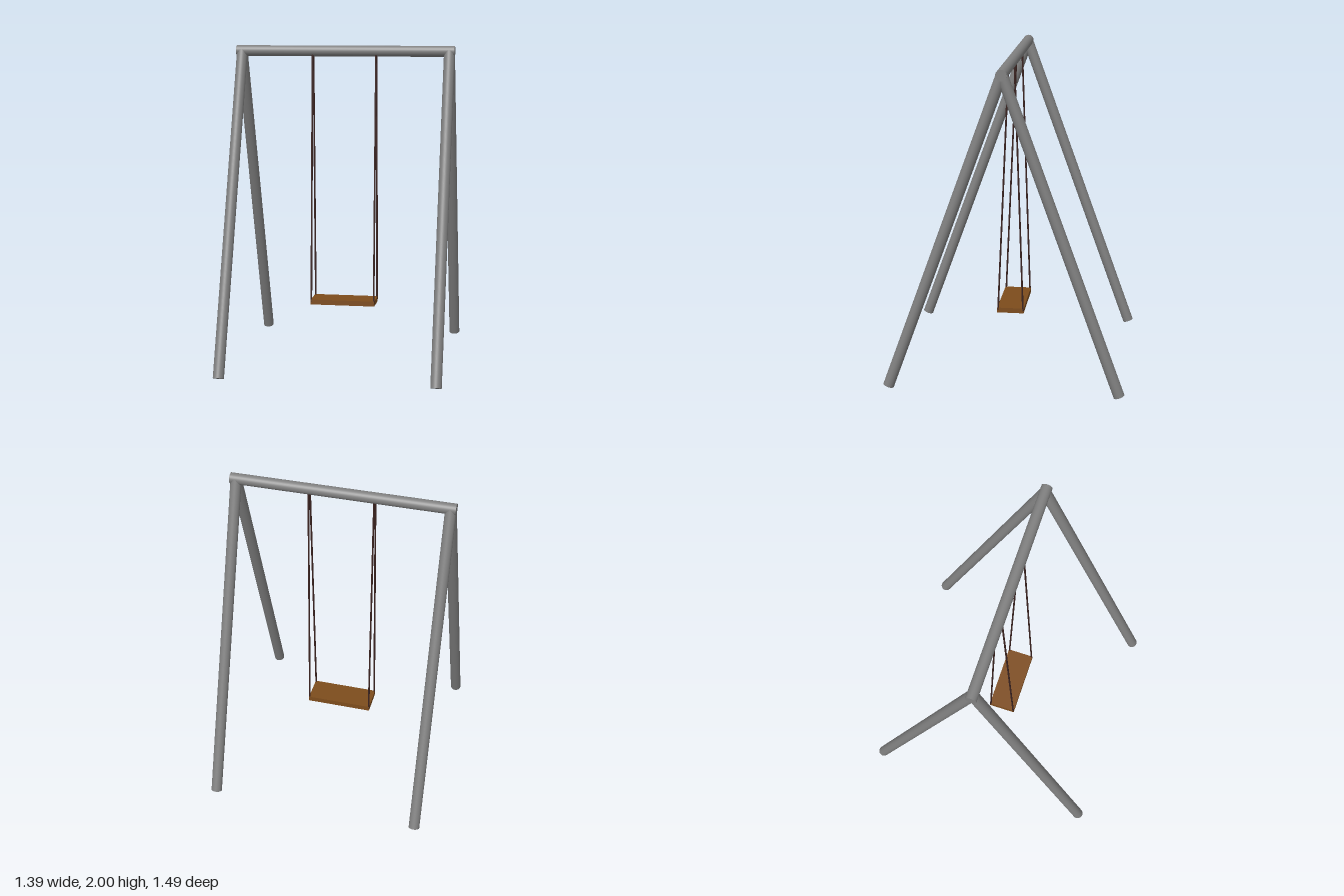
import * as THREE from 'three';

const metal = new THREE.MeshStandardMaterial({ color: 0x808080 });
metal.name = 'greyMetal';
const wood = new THREE.MeshStandardMaterial({ color: 0x7d4c1c });
wood.name = 'brownWood';
const cord = new THREE.MeshStandardMaterial({ color: 0x3b2320 });
cord.name = 'darkRope';

// Round bar between two points
function bar(name, from, to, radius, sides, material) {
  const a = new THREE.Vector3(...from);
  const b = new THREE.Vector3(...to);
  const dir = b.clone().sub(a);
  const mesh = new THREE.Mesh(new THREE.CylinderGeometry(radius, radius, dir.length(), sides), material);
  mesh.position.copy(a).add(b).multiplyScalar(0.5);
  mesh.quaternion.setFromUnitVectors(new THREE.Vector3(0, 1, 0), dir.normalize());
  mesh.name = name;
  return mesh;
}

export function createModel() {
  const swing = new THREE.Group();
  swing.name = 'swing';
  const R = 0.034, beamY = 1.966;

  // Top beam
  swing.add(bar('topBeam', [-0.694, beamY, 0], [0.694, beamY, 0], R, 32, metal));

  for (const [side, sx] of [['left', 1], ['right', -1]]) {
    // Splayed legs meeting at the beam
    swing.add(bar(side + 'FrontLeg', [sx * 0.66, 0.012, 0.711], [sx * 0.66, beamY, 0], R, 32, metal));
    swing.add(bar(side + 'BackLeg', [sx * 0.66, 0.012, -0.711], [sx * 0.66, beamY, 0], R, 32, metal));
    // Ropes from the beam to the seat corners
    swing.add(bar(side + 'FrontRope', [sx * 0.202, 0.365, 0.09], [sx * 0.202, 1.955, 0.02], 0.0055, 10, cord));
    swing.add(bar(side + 'BackRope', [sx * 0.202, 0.365, -0.07], [sx * 0.202, 1.955, -0.016], 0.0055, 10, cord));
  }

  // Seat board
  const seat = new THREE.Mesh(new THREE.BoxGeometry(0.412, 0.032, 0.17), wood);
  seat.position.set(0, 0.366, 0.01);
  seat.name = 'seat';
  swing.add(seat);

  return swing;
}
